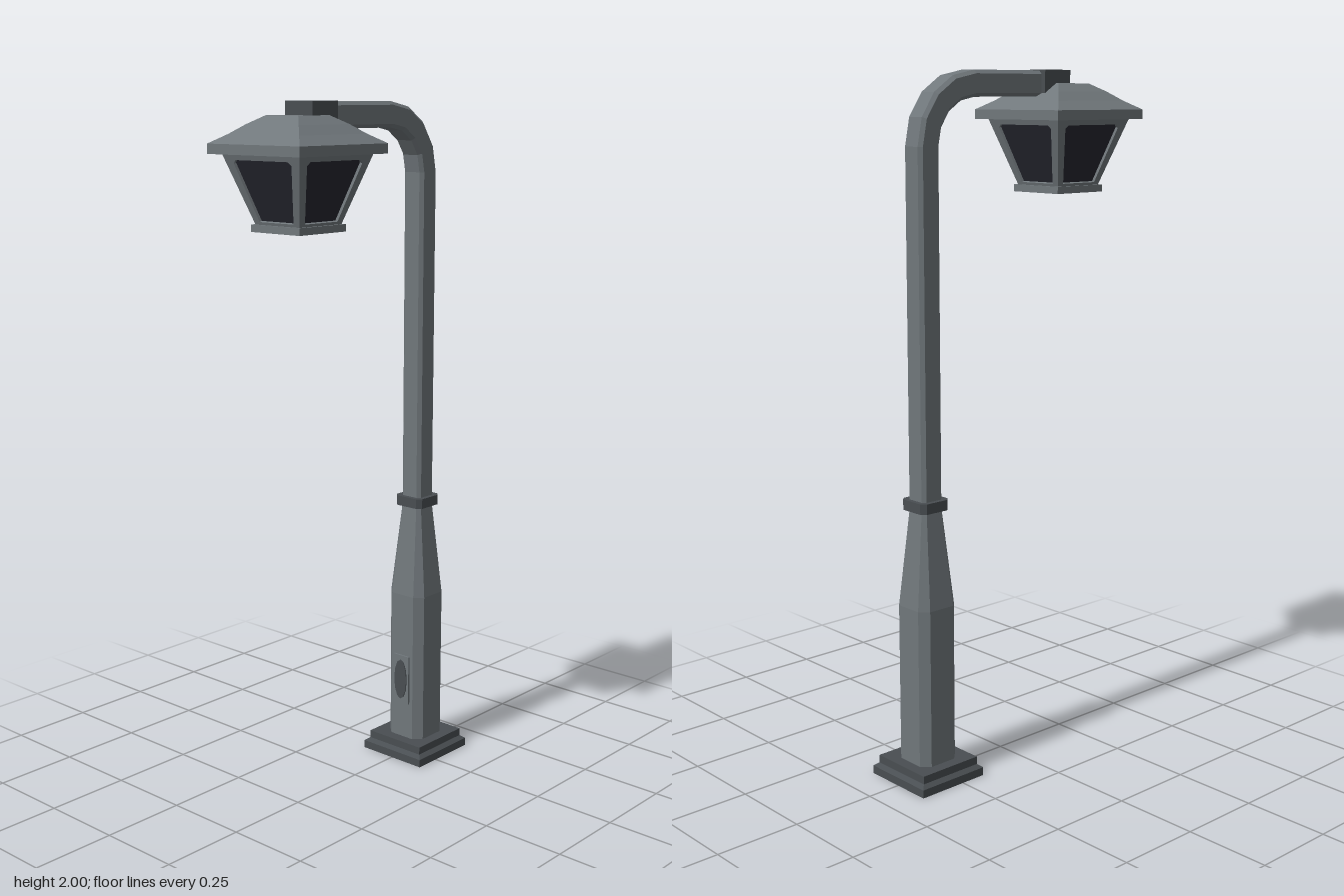
import * as THREE from 'three';

const POLE_Z = -0.285, LAMP_Z = 0.227;

const metal = new THREE.MeshStandardMaterial({ color: 0x70777b });
metal.name = 'grey metal';
const dark = new THREE.MeshStandardMaterial({ color: 0x494e52 });
dark.name = 'dark metal';
const glass = new THREE.MeshStandardMaterial({ color: 0x25262e });
glass.name = 'dark glass';

// Square outline, or an octagon when flat < half (flat = half length of the straight sides)
function outline(half, flat = half) {
  const pts = [];
  for (let k = 0; k < 4; k++) {
    const c = Math.round(Math.cos(k * Math.PI / 2)), s = Math.round(Math.sin(k * Math.PI / 2));
    const corners = flat < half ? [[-flat, half], [flat, half]] : [[half, half]];
    for (const [u, v] of corners) pts.push([u * c + v * s, v * c - u * s]);
  }
  return pts;
}

// Flat-faced skin over a list of rings with equal point counts, closed at both ends
function loft(rings) {
  const pos = [], n = rings[0].length, last = rings[rings.length - 1];
  const tri = (...p) => p.forEach((v) => pos.push(...v));
  for (let i = 0; i < rings.length - 1; i++) {
    for (let j = 0; j < n; j++) {
      const k = (j + 1) % n, a = rings[i], b = rings[i + 1];
      tri(a[j], a[k], b[k]);
      tri(a[j], b[k], b[j]);
    }
  }
  for (let j = 1; j < n - 1; j++) {
    tri(last[0], last[j], last[j + 1]);
    tri(rings[0][0], rings[0][j + 1], rings[0][j]);
  }
  const g = new THREE.BufferGeometry();
  g.setAttribute('position', new THREE.Float32BufferAttribute(pos, 3));
  g.computeVertexNormals();
  return g;
}

// Upright stack of sections [y, half, flat]
const stack = (sections) =>
  loft(sections.map(([y, h, f]) => outline(h, f).map(([x, z]) => [x, y, z])));

function add(parent, name, geometry, material, x = 0, y = 0, z = 0) {
  const m = new THREE.Mesh(geometry, material);
  m.name = name;
  m.position.set(x, y, z);
  parent.add(m);
  return m;
}

function polygon(points) {
  return new THREE.Shape(points.map(([x, y]) => new THREE.Vector2(x, y)));
}

function buildPost() {
  const post = new THREE.Group();
  post.name = 'post';
  post.position.z = POLE_Z;

  add(post, 'basePlate', stack([[0, 0.113], [0.024, 0.113], [0.034, 0.1], [0.057, 0.1]]), dark);
  add(post, 'lowerPost', stack([[0.05, 0.066, 0.042], [0.52, 0.066, 0.042], [0.8, 0.036, 0.026]]), metal);
  add(post, 'collar', stack([[0.797, 0.05, 0.037], [0.827, 0.05, 0.037]]), dark);

  // Upper pole, bending forward into the arm
  const R = 0.165, bendY = 1.797, rings = [];
  const ring = (y, z, t) => rings.push(outline(0.036, 0.026).map(([u, v]) =>
    [u, y - v * Math.sin(t), z + v * Math.cos(t)]));
  ring(0.8, 0, 0);
  for (let i = 0; i <= 4; i++) {
    const t = i * Math.PI / 8;
    ring(bendY + R * Math.sin(t), R - R * Math.cos(t), t);
  }
  ring(bendY + R, 0.42, Math.PI / 2);
  add(post, 'poleAndArm', loft(rings), metal);

  // Service hatch with an oval inset
  add(post, 'hatch', new THREE.BoxGeometry(0.06, 0.155, 0.008), metal, 0, 0.248, 0.068);
  const oval = new THREE.CylinderGeometry(1, 1, 0.004, 12).rotateX(Math.PI / 2).scale(0.024, 0.064, 1);
  add(post, 'hatchInset', oval, dark, 0, 0.248, 0.073);
  return post;
}

function buildLamp() {
  const lamp = new THREE.Group();
  lamp.name = 'lamp';
  lamp.position.z = LAMP_Z;

  add(lamp, 'armBracket', new THREE.BoxGeometry(0.1, 0.07, 0.099), dark, 0, 1.965, 0.1735 - LAMP_Z);
  add(lamp, 'roof', stack([[1.863, 0.17], [1.89, 0.17], [1.915, 0.13], [1.94, 0.097], [1.963, 0.06]]), metal);

  // Four sloping window frames
  const y0 = 1.675, y1 = 1.865, low = 0.081, high = 0.143;
  const tilt = Math.atan2(high - low, y1 - y0), len = Math.hypot(high - low, y1 - y0);
  const shape = polygon([[-low, 0], [low, 0], [high, len], [-high, len]]);
  shape.holes.push(polygon([[-0.063, 0.01], [-0.106, 0.172], [-0.096, 0.182],
    [0.096, 0.182], [0.106, 0.172], [0.063, 0.01]]));
  const frame = new THREE.ExtrudeGeometry(shape, { depth: 0.014, bevelEnabled: false });
  frame.translate(0, 0, -0.014).rotateX(tilt).translate(0, y0, low);
  for (let k = 0; k < 4; k++) add(lamp, 'windowFrame', frame, metal).rotation.y = k * Math.PI / 2;

  // Glass set just behind the frames
  add(lamp, 'glass', stack([[1.664, low - 0.009], [y0, low - 0.009], [y1, high - 0.009]]), glass);

  // Bottom rim around the lower pane
  const rim = polygon(outline(0.09));
  rim.holes.push(polygon(outline(0.066)));
  const rimGeo = new THREE.ExtrudeGeometry(rim, { depth: 0.02, bevelEnabled: false }).rotateX(-Math.PI / 2);
  add(lamp, 'bottomRim', rimGeo, metal, 0, 1.657, 0);
  return lamp;
}

export function createModel() {
  const model = new THREE.Group();
  model.name = 'streetLamp';
  model.add(buildPost(), buildLamp());
  return model;
}
